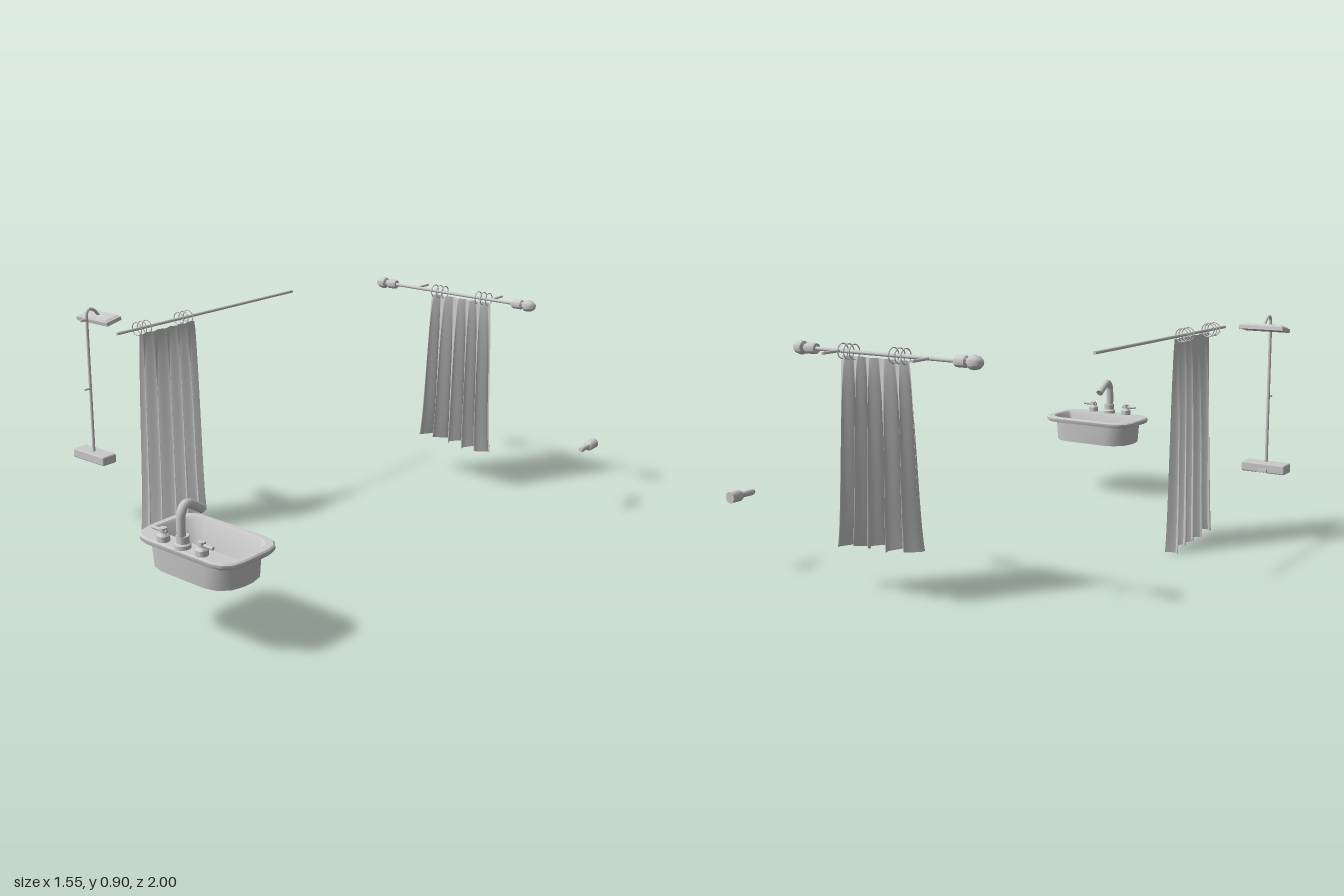
import * as THREE from 'three';
import { toCreasedNormals } from 'three/addons/utils/BufferGeometryUtils.js';
import { RoundedBoxGeometry } from 'three/addons/geometries/RoundedBoxGeometry.js';

const grey = new THREE.MeshStandardMaterial({ color: 0xcccccc });
const flat = new THREE.MeshStandardMaterial({ color: 0xcccccc, flatShading: true });
const cloth = new THREE.MeshStandardMaterial({ color: 0xcccccc, side: THREE.DoubleSide });

function add(parent, name, geo, x = 0, y = 0, z = 0, mat = grey) {
  const mesh = new THREE.Mesh(geo, mat);
  mesh.name = name;
  mesh.position.set(x, y, z);
  parent.add(mesh);
  return mesh;
}

// Straight round bar between two points
function bar(parent, name, a, b, r, r2 = r) {
  const p = new THREE.Vector3(...a), q = new THREE.Vector3(...b);
  const mesh = add(parent, name, new THREE.CylinderGeometry(r2, r, p.distanceTo(q), 12));
  mesh.position.copy(p).lerp(q, 0.5);
  mesh.quaternion.setFromUnitVectors(new THREE.Vector3(0, 1, 0), q.sub(p).normalize());
  return mesh;
}

function lathe(points) {
  const geo = new THREE.LatheGeometry(points.map(p => new THREE.Vector2(...p)), 16);
  return toCreasedNormals(geo, 0.7);
}

// Hanging folded sheet: runs along x, hangs down from y = 0, folds deepen downward
function curtainGeometry(width, height) {
  const geo = new THREE.PlaneGeometry(1, 1, 100, 24);
  const pos = geo.attributes.position;
  for (let i = 0; i < pos.count; i++) {
    const s = pos.getX(i) + 0.5, d = 0.5 - pos.getY(i);
    const phase = s * Math.PI * 10 + 0.5 * Math.sin(s * 9);
    const amp = 0.006 + 0.029 * Math.pow(d, 0.65);
    const flare = 1 + 0.17 * Math.pow(d, 0.6) + 0.07 * Math.pow(d, 8);
    const x = (s - 0.5) * width * flare + 0.28 * amp * Math.sin(2 * phase);
    const hem = d * (0.025 * (s - 0.5) + 0.006 * Math.sin(phase * 0.7));
    pos.setXYZ(i, x, -d * height - hem, amp * Math.sin(phase));
  }
  geo.computeVertexNormals();
  return geo;
}

// Sheet plus its two groups of three rings; the rod is the local x axis
function curtain(name, width, height, offset) {
  const g = new THREE.Group();
  g.name = name;
  add(g, 'curtainSheet', curtainGeometry(width, height), 0, -0.015, offset, cloth);
  for (const side of [-1, 1]) for (const k of [0, 1, 2]) {
    const ring = add(g, 'curtainRing', new THREE.TorusGeometry(0.026, 0.0022, 6, 24));
    ring.rotation.y = Math.PI / 2;
    ring.position.set(side * (0.137 - k * 0.026), 0, 0);
  }
  return g;
}

// Rounded rectangle cross-section at height y, with separate back and front corner radii
function section(y, x, z0, z1, rb, rf) {
  const pts = [];
  const corners = [[x - rf, z1 - rf, rf, 0], [-x + rf, z1 - rf, rf, 1],
    [-x + rb, z0 + rb, rb, 2], [x - rb, z0 + rb, rb, 3]];
  for (const [cx, cz, r, q] of corners) for (let k = 0; k <= 3; k++) {
    const a = (q + k / 3) * Math.PI / 2;
    pts.push([cx + r * Math.cos(a), y, cz + r * Math.sin(a)]);
  }
  return pts;
}

// Skin through the cross-sections, closed at both ends
function loft(sections) {
  const n = sections[0].length, verts = sections.flat(), idx = [];
  for (let j = 0; j < sections.length - 1; j++) for (let i = 0; i < n; i++) {
    const a = j * n + i, b = j * n + (i + 1) % n;
    idx.push(a, a + n, b, b, a + n, b + n);
  }
  const last = (sections.length - 1) * n;
  for (let i = 1; i < n - 1; i++) idx.push(0, i, i + 1, last, last + i + 1, last + i);
  const geo = new THREE.BufferGeometry();
  geo.setAttribute('position', new THREE.Float32BufferAttribute(verts.flat(), 3));
  geo.setIndex(idx);
  return toCreasedNormals(geo, 0.6);
}

function createSink() {
  const g = new THREE.Group();
  g.name = 'sink';
  g.position.x = 0.324;
  add(g, 'basin', loft([
    section(0.24, 0.188, 0.75, 0.975, 0.09, 0.09),
    section(0.33, 0.192, 0.745, 0.982, 0.09, 0.09),
    section(0.33, 0.22, 0.726, 0.992, 0.075, 0.075),
    section(0.337, 0.223, 0.723, 0.995, 0.075, 0.075),
    section(0.347, 0.223, 0.723, 0.995, 0.075, 0.075),
    section(0.352, 0.218, 0.728, 0.99, 0.072, 0.072),
    section(0.352, 0.198, 0.744, 0.924, 0.075, 0.012),
    section(0.344, 0.19, 0.75, 0.92, 0.07, 0.01),
    section(0.256, 0.16, 0.768, 0.905, 0.06, 0.01),
  ]));
  // Spout
  add(g, 'spoutBase', lathe([[0.028, 0], [0.028, 0.015], [0.022, 0.02], [0.022, 0.045], [0, 0.045]]), 0, 0.35, 0.968);
  const path = new THREE.CatmullRomCurve3([[0.36, 0.974], [0.44, 0.974], [0.475, 0.97],
    [0.496, 0.955], [0.496, 0.938], [0.483, 0.915], [0.458, 0.877]]
    .map(([y, z]) => new THREE.Vector3(0, y, z)));
  add(g, 'spout', new THREE.TubeGeometry(path, 28, 0.0155, 12));
  const end = add(g, 'spoutEnd', new THREE.CircleGeometry(0.0155, 12), 0, 0.458, 0.877, cloth);
  end.lookAt(0.324, 0.433, 0.839);
  // Taps with outward levers
  for (const s of [-1, 1]) {
    add(g, 'tap', lathe([[0.022, 0], [0.022, 0.022], [0.013, 0.032], [0.013, 0.048], [0, 0.052]]), s * 0.088, 0.35, 0.97);
    bar(g, 'tapLever', [s * 0.072, 0.387, 0.97], [s * 0.138, 0.387, 0.97], 0.006);
  }
  return g;
}

function createShower() {
  const g = new THREE.Group();
  g.name = 'shower';
  g.position.x = -0.685;
  add(g, 'mixerBox', new RoundedBoxGeometry(0.182, 0.038, 0.07, 1, 0.006), 0, 0.301, 0.475);
  add(g, 'mixerSpout', new THREE.BoxGeometry(0.04, 0.012, 0.012), 0, 0.292, 0.437);
  bar(g, 'riser', [0, 0.31, 0.478], [0, 0.875, 0.478], 0.006);
  bar(g, 'riserKnob', [0, 0.582, 0.475], [0, 0.582, 0.508], 0.004);
  bar(g, 'wallMount', [0, 0.86, 0.475], [0, 0.86, 0.508], 0.006);
  // Bent arm holding the tilted head
  const arm = new THREE.CatmullRomCurve3([[0.865, 0.478], [0.89, 0.475], [0.9, 0.462], [0.892, 0.44], [0.865, 0.415]]
    .map(([y, z]) => new THREE.Vector3(0, y, z)));
  add(g, 'showerArm', new THREE.TubeGeometry(arm, 16, 0.006, 8));
  const head = new THREE.Group();
  head.name = 'showerHead';
  head.position.set(0, 0.855, 0.417);
  head.rotation.x = 0.2;
  add(head, 'headPlate', new THREE.BoxGeometry(0.18, 0.014, 0.075));
  const cap = new THREE.CylinderGeometry(0.6, Math.SQRT1_2, 0.008, 4, 1).rotateY(Math.PI / 4);
  add(head, 'headTop', cap.scale(0.178, 1, 0.073), 0, 0.011, 0, flat);
  g.add(head);
  return g;
}

export function createModel() {
  const model = new THREE.Group();
  model.name = 'bathroomFittings';
  model.add(createSink(), createShower());

  // Shower curtain on a plain rod along z
  bar(model, 'showerRod', [-0.475, 0.843, 0.51], [-0.475, 0.843, -0.5], 0.006);
  const showerCurtain = curtain('showerCurtain', 0.29, 0.81, 0.024);
  showerCurtain.position.set(-0.475, 0.843, 0.272);
  showerCurtain.rotation.y = Math.PI / 2;
  model.add(showerCurtain);

  // Window curtain on a rod with finials and wall brackets
  const rodX = 0.087;
  bar(model, 'windowRod', [-0.23, 0.843, -0.912], [0.4, 0.843, -0.912], 0.007);
  const windowCurtain = curtain('windowCurtain', 0.295, 0.65, 0.004);
  windowCurtain.position.set(0.13, 0.843, -0.912);
  model.add(windowCurtain);
  for (const s of [-1, 1]) {
    const finial = add(model, 'finial', lathe([[0, 0], [0.018, 0], [0.02, 0.006], [0.02, 0.04], [0.013, 0.046],
      [0.013, 0.052], [0.023, 0.058], [0.025, 0.07], [0.021, 0.088], [0.012, 0.1], [0, 0.106]]),
      rodX + s * 0.3, 0.843, -0.912);
    finial.rotation.z = -s * Math.PI / 2;
    bar(model, 'rodBracket', [rodX + s * 0.191, 0.843, -0.912], [rodX + s * 0.191, 0.843, -1], 0.005);
  }

  // Wall peg
  const peg = add(model, 'wallPeg', lathe([[0, 0], [0.021, 0], [0.021, 0.045], [0.016, 0.052], [0.011, 0.055],
    [0.012, 0.105], [0.009, 0.115], [0, 0.117]]), 0.755, 0.287, -1);
  peg.rotation.x = Math.PI / 2;
  return model;
}
